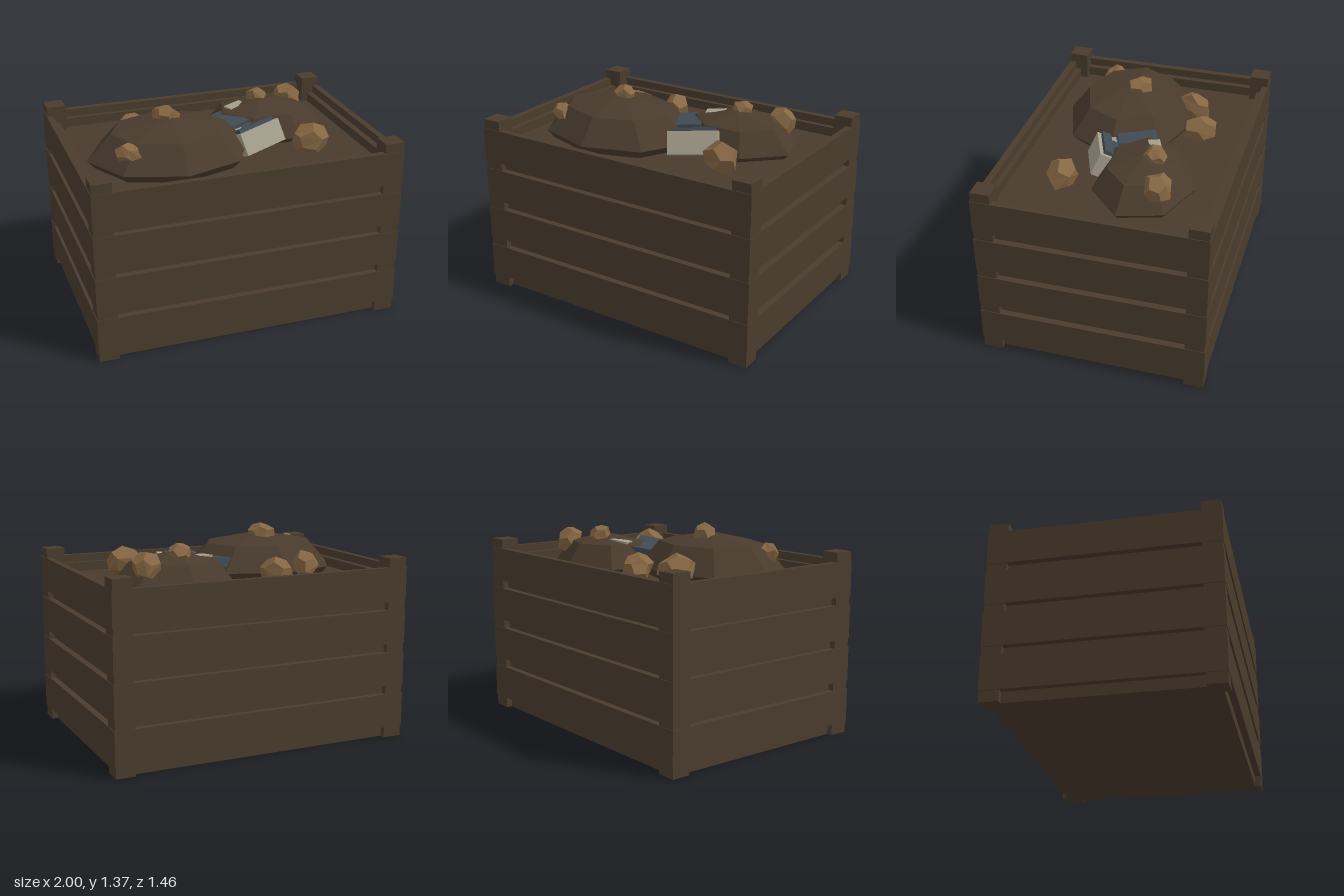
import * as THREE from 'three';

const mat = (name, color) => {
  const m = new THREE.MeshStandardMaterial({ color, flatShading: true });
  m.name = name;
  return m;
};

export function createModel() {
  const wood = mat('dark wood', 0x4a3c2d);
  const soil = mat('soil', 0x493b2d);
  const rock = mat('ore rock', 0x866743);
  const steel = mat('blue steel', 0x404b54);
  const pale = mat('pale metal', 0xa59e8e);

  const model = new THREE.Group();
  model.name = 'crateOfOre';
  const add = (name, geo, material, pos, parent = model) => {
    const mesh = new THREE.Mesh(geo, material);
    mesh.name = name;
    mesh.position.set(...pos);
    parent.add(mesh);
    return mesh;
  };
  const box = (name, material, size, pos, parent) =>
    add(name, new THREE.BoxGeometry(...size), material, pos, parent);

  // Crate: outer planks, corner posts and inner lining
  const X = 1, Z = 0.728, T = 0.043;
  for (const y of [0.183, 0.463, 0.743, 1.02]) {
    for (const s of [-1, 1]) {
      box('longPlank', wood, [2 * X, 0.223, T], [0, y, s * (Z - T / 2)]);
      box('shortPlank', wood, [T, 0.223, 2 * (Z - T)], [s * (X - T / 2), y, 0]);
    }
  }
  for (const sx of [-1, 1]) for (const sz of [-1, 1])
    box('cornerPost', wood, [0.125, 1.193, 0.124], [sx * 0.933, 0.5965, sz * 0.662]);

  box('crateBody', wood, [2 * (X - T), 1, 2 * (Z - T)], [0, 0.5, 0]);
  for (const s of [-1, 1]) {
    box('longLining', wood, [2 * (X - T), 0.08, 0.034], [0, 1.04, s * (Z - T - 0.017)]);
    box('shortLining', wood, [0.042, 0.08, 1.3], [s * (X - T - 0.021), 1.04, 0]);
  }
  box('soilBed', soil, [1.83, 0.02, 1.302], [0, 1.01, 0]);

  // Faceted heaps of soil
  const heap = (name, sides, size, pos) => {
    const g = new THREE.SphereGeometry(1, sides, 4);
    g.rotateY(-Math.PI / 2);
    g.scale(...size);
    add(name, g, soil, pos);
  };
  heap('largeHeap', 8, [0.535, 0.23, 0.425], [-0.35, 1.075, 0.11]);
  heap('smallHeap', 7, [0.42, 0.2, 0.325], [0.385, 1.05, -0.18]);

  // Rocks: uneven dodecahedra, each corner nudged by a rule on its position
  const rocks = [
    // x, y, z, half width, half height, half depth, turn
    [-0.5, 1.12, -0.29, 0.085, 0.09, 0.125, -0.5],
    [-0.235, 1.1, -0.395, 0.085, 0.09, 0.115, 0.3],
    [-0.35, 1.295, 0.055, 0.075, 0.07, 0.085, 0.8],
    [-0.665, 1.185, 0.32, 0.085, 0.06, 0.065, -0.5],
    [0.38, 1.24, -0.245, 0.075, 0.065, 0.07, 0.2],
    [0.63, 1.185, -0.325, 0.095, 0.09, 0.085, 0.4],
    [0.54, 1.115, 0.3, 0.12, 0.1, 0.09, -0.2],
  ];
  rocks.forEach(([x, y, z, w, h, d, turn], i) => {
    const g = new THREE.DodecahedronGeometry(1.04);
    g.rotateX(i * 0.9);
    g.rotateZ(i * 0.6);
    const p = g.attributes.position;
    for (let k = 0; k < p.count; k++) {
      const a = p.getX(k), b = p.getY(k), c = p.getZ(k);
      const f = 1 + 0.1 * Math.sin(5 * a + 7 * b + 3 * c + i);
      p.setXYZ(k, a * f, b * f, c * f);
    }
    g.scale(w, h, d);
    g.computeVertexNormals();
    add('rock', g, rock, [x, y, z]).rotation.y = turn;
  });

  // Half-buried metal scrap, lying aslant between the heaps
  const scrap = new THREE.Group();
  scrap.name = 'metalScrap';
  scrap.position.set(0.17, 1.14, 0);
  scrap.rotation.set(0, 0.36, 0.1, 'YXZ');
  model.add(scrap);
  box('scrapPlate', steel, [0.18, 0.06, 0.25], [-0.045, 0.015, -0.075], scrap);
  box('scrapNeck', steel, [0.1, 0.05, 0.12], [0.0, 0.0, 0.06], scrap);
  box('scrapCollar', pale, [0.14, 0.07, 0.05], [-0.03, -0.01, 0.085], scrap);
  box('scrapStub', pale, [0.13, 0.07, 0.075], [0.11, 0.03, -0.17], scrap);
  const bar = new THREE.Group();
  bar.name = 'scrapBar';
  bar.position.set(0.02, -0.02, 0.165);
  bar.rotation.x = -0.45;
  scrap.add(bar);
  box('barBody', pale, [0.325, 0.15, 0.08], [0, -0.02, 0], bar);
  box('barCap', steel, [0.28, 0.03, 0.06], [-0.005, 0.065, -0.015], bar);

  return model;
}
